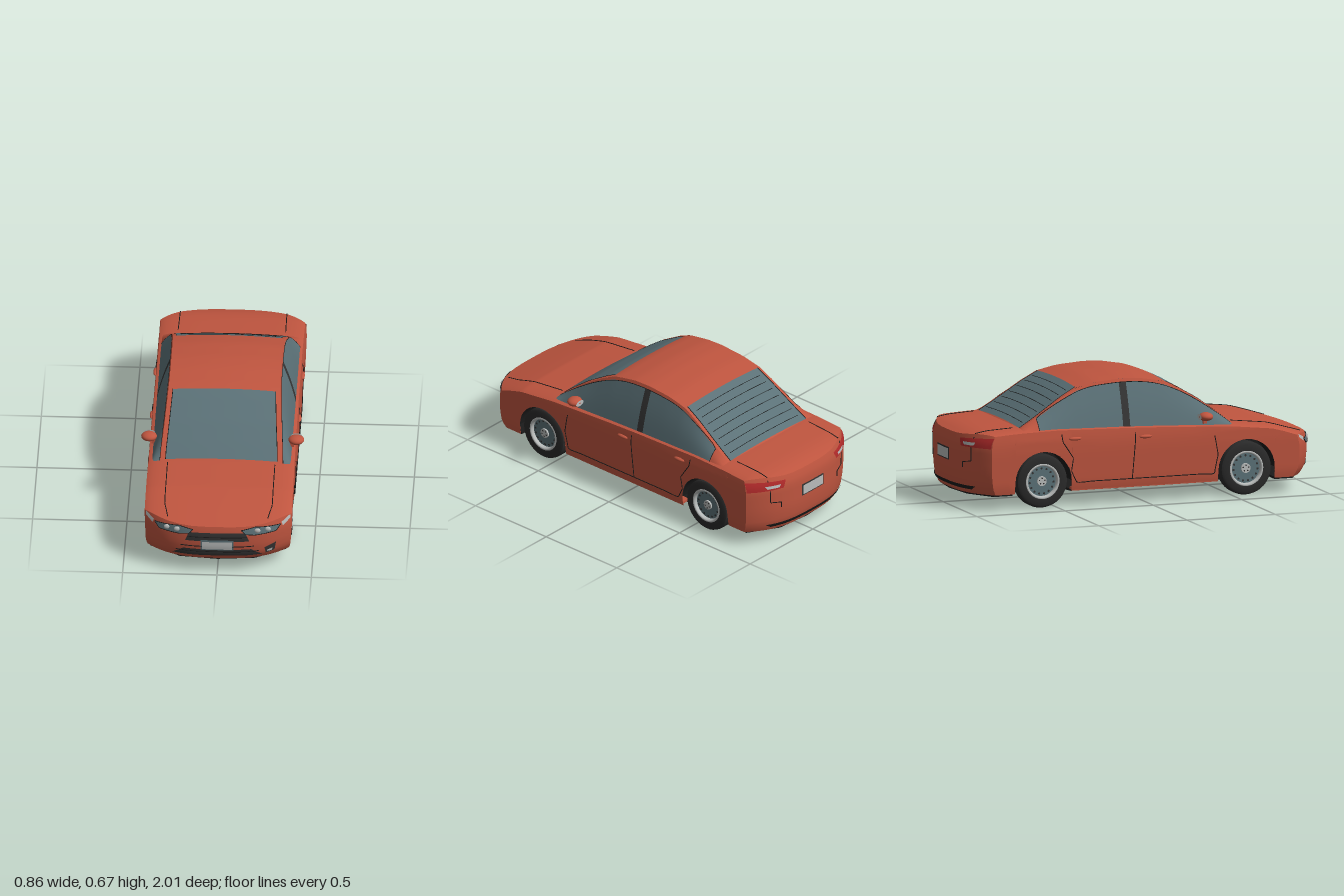
import * as THREE from 'three';
import { toCreasedNormals } from 'three/addons/utils/BufferGeometryUtils.js';

const mat = (name, color) => {
  const m = new THREE.MeshStandardMaterial({ color, side: THREE.DoubleSide });
  m.name = name;
  return m;
};

// piecewise-linear lookup in [[x, y], ...] with x ascending
function interp(table, x) {
  if (x <= table[0][0]) return table[0][1];
  for (let i = 1; i < table.length; i++) {
    const [x0, y0] = table[i - 1], [x1, y1] = table[i];
    if (x <= x1) return y0 + (y1 - y0) * (x - x0) / (x1 - x0);
  }
  return table[table.length - 1][1];
}

const BOTTOM = 0.083, ARCH_R = 0.16, AXLES = [-0.58, 0.575], AXLE_Y = 0.143;
const WIDTH = [[0.083, 0.375], [0.12, 0.383], [0.2, 0.386], [0.3, 0.39], [0.36, 0.389], [0.42, 0.38]];
const TOP = [[-1, 0.392], [-0.95, 0.41], [-0.88, 0.421], [-0.7, 0.43], [-0.5, 0.434], [0, 0.422],
  [0.5, 0.397], [0.72, 0.373], [0.85, 0.338], [0.93, 0.315], [1, 0.293]];
const NOSE = [[0.083, 0.035], [0.12, 0.01], [0.18, 0], [0.25, 0], [0.28, 0.006], [0.31, 0.016]];
const TAIL = [[0.083, 0.025], [0.12, 0.008], [0.2, 0], [0.34, 0], [0.37, 0.006], [0.4, 0.018]];
const ROOF = [[-0.71, 0.42], [-0.62, 0.474], [-0.55, 0.518], [-0.45, 0.583], [-0.36, 0.632], [-0.25, 0.656], [-0.1, 0.667],
  [0, 0.663], [0.13, 0.64], [0.2, 0.609], [0.33, 0.532], [0.43, 0.458], [0.51, 0.394]];

// body surface: s runs tail to nose, u across, y up; the ends bow in plan
const bowT = s => Math.max(0, (Math.abs(s) - 0.78) / 0.22);
const bow = (s, u) => bowT(s) * 0.125 * Math.abs(u) ** 3;
const topY = (s, u) => interp(TOP, s - Math.sign(s) * bow(s, u)) - 0.008 * u * u - 0.014 * u ** 12;
const bodyPoint = (s, u, y) => {
  const inset = bowT(s) * interp(s > 0 ? NOSE : TAIL, y);
  return [u * interp(WIDTH, y), y, Math.sign(s) * (Math.abs(s) - bow(s, u) - inset) * 0.996];
};
// helpers that lay details just over each body face
const onFace = (end, lift = 0.004) => (x, y) => {
  const p = bodyPoint(end, x / interp(WIDTH, y), y);
  return [p[0], p[1], p[2] + end * lift];
};
const onSide = (side, lift = 0.001) => (z, y) => [side * (interp(WIDTH, y) + lift), y, z];
const onDeck = (s, u) => { const p = bodyPoint(s, u, topY(s, u)); p[1] += 0.001; return p; };

// greenhouse surfaces
const roofEdge = z => {
  const y = interp(ROOF, z) - 0.012;
  return [0.292 + 0.03 * Math.min(1, Math.max(0, (0.65 - y) / 0.24)), y];
};
const onRoof = lift => (z, u) => [u * roofEdge(z)[0], interp(ROOF, z) - 0.012 * u * u + lift, z];
const onWindow = side => (z, v) => {
  const [ex, ey] = roofEdge(z), by = topY(z, 0.95) - 0.003;
  return [side * (0.368 + (ex - 0.368) * v + 0.006 * Math.sin(Math.PI * v)), by + (ey - by) * v, z];
};

// rectangular net of points -> surface
function grid(fn, nu, nv, crease = 0.55) {
  const pos = [], idx = [];
  for (let i = 0; i <= nu; i++) for (let j = 0; j <= nv; j++) pos.push(...fn(i, j));
  for (let i = 0; i < nu; i++) for (let j = 0; j < nv; j++) {
    const a = i * (nv + 1) + j, b = a + nv + 1;
    idx.push(a, b, a + 1, b, b + 1, a + 1);
  }
  const g = new THREE.BufferGeometry();
  g.setAttribute('position', new THREE.Float32BufferAttribute(pos, 3));
  g.setIndex(idx);
  return toCreasedNormals(g, crease);
}
// four corners a, b (upper edge), d, c (lower edge) laid on a surface
const patch = (fn, [a, b, c, d], n = 12, m = 4) => grid((i, j) => {
  const s = i / n, t = j / m;
  const mix = k => (a[k] * (1 - s) + b[k] * s) * (1 - t) + (d[k] * (1 - s) + c[k] * s) * t;
  return fn(mix(0), mix(1));
}, n, m);
const rect = (x0, x1, y0, y1) => [[x0, y1], [x1, y1], [x1, y0], [x0, y0]];
// thin seam following a surface
function seam(fn, pts, r = 0.0025) {
  const out = [];
  pts.forEach((p, i) => {
    const q = pts[i + 1], n = q ? 8 : 1;
    for (let k = 0; k < n; k++) {
      const t = k / n;
      out.push(new THREE.Vector3(...(q ? fn(p[0] + (q[0] - p[0]) * t, p[1] + (q[1] - p[1]) * t) : fn(...p))));
    }
  });
  return new THREE.TubeGeometry(new THREE.CatmullRomCurve3(out), out.length * 2, r, 5);
}

export function createModel() {
  const car = new THREE.Group();
  const paint = mat('red paint', 0xbf553f), glass = mat('slate glass', 0x5b7177), black = mat('black', 0x1b1b1b);
  const dark = mat('dark grille', 0x343434), silver = mat('silver', 0xb9bcbb), tail = mat('tail light red', 0xb02a2a);
  const rubber = mat('rubber', 0x2a2a2a);
  const add = (name, geo, m, parent = car) => {
    const mesh = new THREE.Mesh(geo, m);
    mesh.name = name;
    parent.add(mesh);
    return mesh;
  };

  // lower body: stations along the length, with lower edge raised over the wheels
  const stations = [-1, -0.97, -0.94, -0.9, -0.86, -0.82, -0.78].map(s => [s, BOTTOM]);
  AXLES.forEach((z, k) => {
    stations.push([z - ARCH_R - 0.001, BOTTOM]);
    for (let i = 0; i <= 16; i++) {
      const a = Math.PI * (1 - i / 16);
      stations.push([z + ARCH_R * Math.cos(a), AXLE_Y + ARCH_R * Math.sin(a)]);
    }
    stations.push([z + ARCH_R + 0.001, BOTTOM]);
    if (k === 0) for (const s of [-0.25, -0.1, 0.1, 0.25]) stations.push([s, BOTTOM]);
  });
  stations.push(...[0.78, 0.82, 0.86, 0.9, 0.94, 0.97, 1].map(s => [s, BOTTOM]));
  const half = [1, 0.985, 0.96, 0.92, 0.85, 0.75, 0.65, 0.5, 0.35, 0.18];
  const cols = [...half.map(u => -u), 0, ...half.slice().reverse()], ROWS = 10, last = cols.length - 1;
  add('bodyShell', grid((i, j) => {
    const [s, b] = stations[i];
    const side = (u, k) => bodyPoint(s, u, b + (topY(s, u) - b) * k / ROWS);
    if (j < ROWS) return side(-1, j);
    if (j > ROWS + last) return side(1, ROWS - (j - ROWS - last));
    return side(cols[j - ROWS], ROWS);
  }, stations.length - 1, ROWS * 2 + last), paint);
  for (const end of [1, -1])
    add(end > 0 ? 'frontBumper' : 'rearBumper', grid((i, j) =>
      bodyPoint(end, cols[i], BOTTOM + (topY(end, cols[i]) - BOTTOM) * j / ROWS), last, ROWS), paint);

  // floor with wheel cut-outs
  const outline = [[0, 0.955], [0.2, 0.935], [0.36, 0.84], [0.36, 0.74], [0.27, 0.74], [0.27, 0.41], [0.32, 0.4],
    [0.32, -0.4], [0.27, -0.41], [0.27, -0.745], [0.36, -0.745], [0.36, -0.85], [0.2, -0.945], [0, -0.965]];
  const floorShape = new THREE.Shape([...outline, ...outline.slice(1, -1).reverse().map(([x, z]) => [-x, z])]
    .map(([x, z]) => new THREE.Vector2(x, -z)));
  const floor = add('floor', new THREE.ExtrudeGeometry(floorShape, { depth: 0.012, bevelEnabled: false }), black);
  floor.rotation.x = -Math.PI / 2;
  floor.position.y = 0.073;

  // roof with front and rear screens
  const roofPatch = (z0, z1, u0, u1) => patch(onRoof(0), [[z0, u0], [z1, u0], [z1, u1], [z0, u1]], 16, 8);
  add('windscreen', roofPatch(0.495, 0.155, -0.92, 0.92), glass);
  add('rearScreen', roofPatch(-0.36, -0.685, -0.94, 0.94), glass);
  add('roofPanel', roofPatch(0.155, -0.36, -1, 1), paint);
  add('cowl', roofPatch(0.51, 0.495, -1, 1), paint);
  add('rearScreenBase', roofPatch(-0.685, -0.71, -1, 1), paint);
  for (let i = 0; i < 7; i++) {
    const z = -0.4 - i * 0.042;
    add('heaterLine', seam(onRoof(0), [[z, -0.85], [z, 0.85]], 0.0015), black);
  }

  for (const s of [1, -1]) {
    // pillars and side windows
    add('frontPillar', roofPatch(0.495, 0.155, s * 0.92, s), paint);
    add('rearPillarTop', roofPatch(-0.36, -0.685, s * 0.94, s), paint);
    add('windscreenSeal', seam(onRoof(0), [[0.495, s * 0.92], [0.155, s * 0.92]], 0.002), black);
    add('rearScreenSeal', seam(onRoof(0), [[-0.36, s * 0.94], [-0.685, s * 0.94]], 0.002), black);
    const side = onWindow(s);
    const sidePatch = (z0, z1, v0, v1) => patch(side, rect(z0, z1, v0, v1), 24, 6);
    add('frontSideWindow', sidePatch(0.5, -0.08, 0, 0.93), glass);
    add('middlePillar', sidePatch(-0.08, -0.12, 0, 0.93), dark);
    add('rearSideWindow', sidePatch(-0.12, -0.595, 0, 0.93), glass);
    add('roofRail', sidePatch(0.5, -0.595, 0.93, 1), paint);
    add('rearPillar', sidePatch(-0.595, -0.705, 0, 1), paint);
    add('windowSeal', seam(side, [[0.5, 0.93], [-0.595, 0.93], [-0.595, 0]], 0.002), black);

    // doors, handles, sill
    add('doorSeam', seam(onSide(s), [[0.39, 0.335], [0.41, 0.23], [0.39, 0.13], [-0.39, 0.13],
      [-0.42, 0.19], [-0.41, 0.26], [-0.47, 0.35], [-0.475, 0.39]]), black);
    add('middleDoorSeam', seam(onSide(s), [[-0.06, 0.38], [-0.06, 0.33], [-0.075, 0.13]]), black);
    for (const [z, y] of [[0, 0.352], [-0.4, 0.364]]) {
      const handle = add('doorHandle', new THREE.SphereGeometry(1, 16, 10), paint);
      handle.scale.set(0.012, 0.01, 0.036);
      handle.position.set(s * 0.39, y, z);
    }
    const sill = add('sill', new THREE.BoxGeometry(0.058, 0.012, 0.81), paint);
    sill.position.set(s * 0.347, 0.09, 0);

    // mirror
    const mirror = add('mirror', new THREE.SphereGeometry(1, 20, 14), paint);
    mirror.scale.set(0.042, 0.023, 0.038);
    mirror.position.set(s * 0.39, 0.438, 0.34);
    const mirrorGlass = add('mirrorGlass', new THREE.CircleGeometry(1, 20), silver);
    mirrorGlass.scale.set(0.03, 0.016, 1);
    mirrorGlass.position.set(s * 0.39, 0.438, 0.303);
    const stalk = add('mirrorStalk', new THREE.BoxGeometry(0.03, 0.035, 0.02), paint);
    stalk.position.set(s * 0.362, 0.415, 0.34);

    // bonnet and boot seams
    add('bonnetSeam', seam(onDeck, [[0.52, s * 0.74], [0.86, s * 0.73], [0.97, s * 0.68]]), black);
    add('bootSeam', seam(onDeck, [[-0.72, s * 0.75], [-1, s * 0.74]]), black);
    add('bootSideSeam', seam(onFace(-1, 0.001), [[s * 0.285, 0.39], [s * 0.28, 0.26], [s * 0.22, 0.25], [s * 0.22, 0.22]]), black);

    // lamps
    const front = onFace(1), back = onFace(-1);
    const lamp = pts => pts.map(([x, y]) => [s * x, y]);
    add('headlightInner', patch(front, lamp([[0.128, 0.277], [0.2, 0.291], [0.2, 0.247], [0.15, 0.254]])), glass);
    add('headlightOuter', patch(front, lamp([[0.2, 0.291], [0.335, 0.279], [0.31, 0.25], [0.2, 0.247]])), glass);
    add('headlightRim', seam(front, lamp([[0.128, 0.277], [0.2, 0.291], [0.335, 0.279], [0.31, 0.25],
      [0.2, 0.247], [0.15, 0.254], [0.128, 0.277]]), 0.002), black);
    for (const x of [0.213, 0.267]) {
      const bulb = add('headlightBulb', new THREE.SphereGeometry(1, 16, 10), silver);
      bulb.scale.set(0.017, 0.014, 0.008);
      bulb.position.set(...front(s * x, 0.27));
    }
    add('cornerLamp', patch(front, lamp([[0.338, 0.288], [0.382, 0.311], [0.383, 0.292], [0.345, 0.266]])), silver);
    add('tailLight', patch(back, lamp([[0.19, 0.375], [0.388, 0.39], [0.388, 0.335], [0.21, 0.335]])), tail);
    add('reverseLamp', patch(onFace(-1, 0.007), lamp([[0.225, 0.36], [0.31, 0.362], [0.3, 0.345], [0.235, 0.345]])), silver);

    // wheels and arches
    for (const z of AXLES) {
      const wheel = new THREE.Group();
      wheel.name = 'wheel';
      wheel.position.set(s * 0.335, 0.143, z);
      wheel.rotation.z = -s * Math.PI / 2;
      car.add(wheel);
      const ring = pts => new THREE.LatheGeometry(pts.map(p => new THREE.Vector2(...p)), 40);
      add('tyre', toCreasedNormals(ring([[0.093, -0.042], [0.128, -0.044], [0.139, -0.037], [0.143, -0.022], [0.143, 0.022],
        [0.139, 0.037], [0.128, 0.044], [0.093, 0.042]]), 0.7), rubber, wheel);
      add('rim', ring([[0.095, 0.042], [0.09, 0.045], [0.083, 0.042], [0.08, 0.028], [0.08, -0.04]]), silver, wheel);
      add('rimDisc', new THREE.CylinderGeometry(0.081, 0.081, 0.05, 40), glass, wheel);
      add('hub', new THREE.CylinderGeometry(0.026, 0.03, 0.066, 24), silver, wheel);
      for (let i = 0; i < 5; i++) {
        const a = i * Math.PI * 0.4;
        const bolt = add('wheelBolt', new THREE.CylinderGeometry(0.004, 0.004, 0.07, 8), dark, wheel);
        bolt.position.set(0.016 * Math.cos(a), 0, 0.016 * Math.sin(a));
      }
      for (let i = 0; i < 15; i++) {
        const a = i * Math.PI * 2 / 15;
        const slot = add('rimSlot', new THREE.CylinderGeometry(0.006, 0.006, 0.053, 8), dark, wheel);
        slot.position.set(0.068 * Math.cos(a), 0, 0.068 * Math.sin(a));
      }
      add('archLiner', grid((i, j) => {
        const a = Math.PI * i / 20;
        return [s * (j ? 0.384 : 0.27), AXLE_Y + ARCH_R * Math.sin(a), z + ARCH_R * Math.cos(a)];
      }, 20, 1), black);
      const wall = add('archWall', new THREE.CircleGeometry(ARCH_R, 20, 0, Math.PI), black);
      wall.rotation.y = Math.PI / 2;
      wall.position.set(s * 0.27, AXLE_Y, z);
    }
  }

  // front grilles, number plate and fog lamp
  const face = onFace(1), over = onFace(1, 0.008);
  add('upperGrille', patch(face, [[-0.15, 0.261], [0.15, 0.261], [0.17, 0.21], [-0.17, 0.21]], 20), dark);
  add('lowerGrille', patch(face, [[-0.18, 0.158], [0.18, 0.158], [0.24, 0.115], [-0.24, 0.115]], 24), dark);
  add('grilleLine', seam(face, [[-0.195, 0.178], [0.195, 0.178]]), black);
  add('upperGrilleBar', seam(face, [[-0.16, 0.235], [0.16, 0.235]], 0.002), black);
  add('lowerGrilleBar', seam(face, [[-0.22, 0.143], [0.22, 0.143]], 0.002), black);
  add('frontPlateFrame', patch(onFace(1, 0.006), rect(-0.088, 0.088, 0.155, 0.219)), glass);
  add('frontPlate', patch(over, rect(-0.08, 0.08, 0.161, 0.208)), silver);
  add('fogLampHousing', patch(face, [[0.25, 0.158], [0.31, 0.18], [0.302, 0.128], [0.256, 0.12]]), dark);
  add('fogLamp', patch(over, [[0.267, 0.142], [0.292, 0.147], [0.288, 0.132], [0.263, 0.13]]), silver);

  // rear number plate and lower vents
  add('rearPlateFrame', patch(onFace(-1), rect(-0.085, 0.085, 0.238, 0.306)), dark);
  add('rearPlate', patch(onFace(-1, 0.007), rect(-0.077, 0.077, 0.245, 0.299)), silver);
  add('rearVent', patch(onFace(-1), [[-0.3, 0.125], [0.3, 0.125], [0.27, 0.105], [-0.27, 0.105]], 24), black);
  return car;
}
